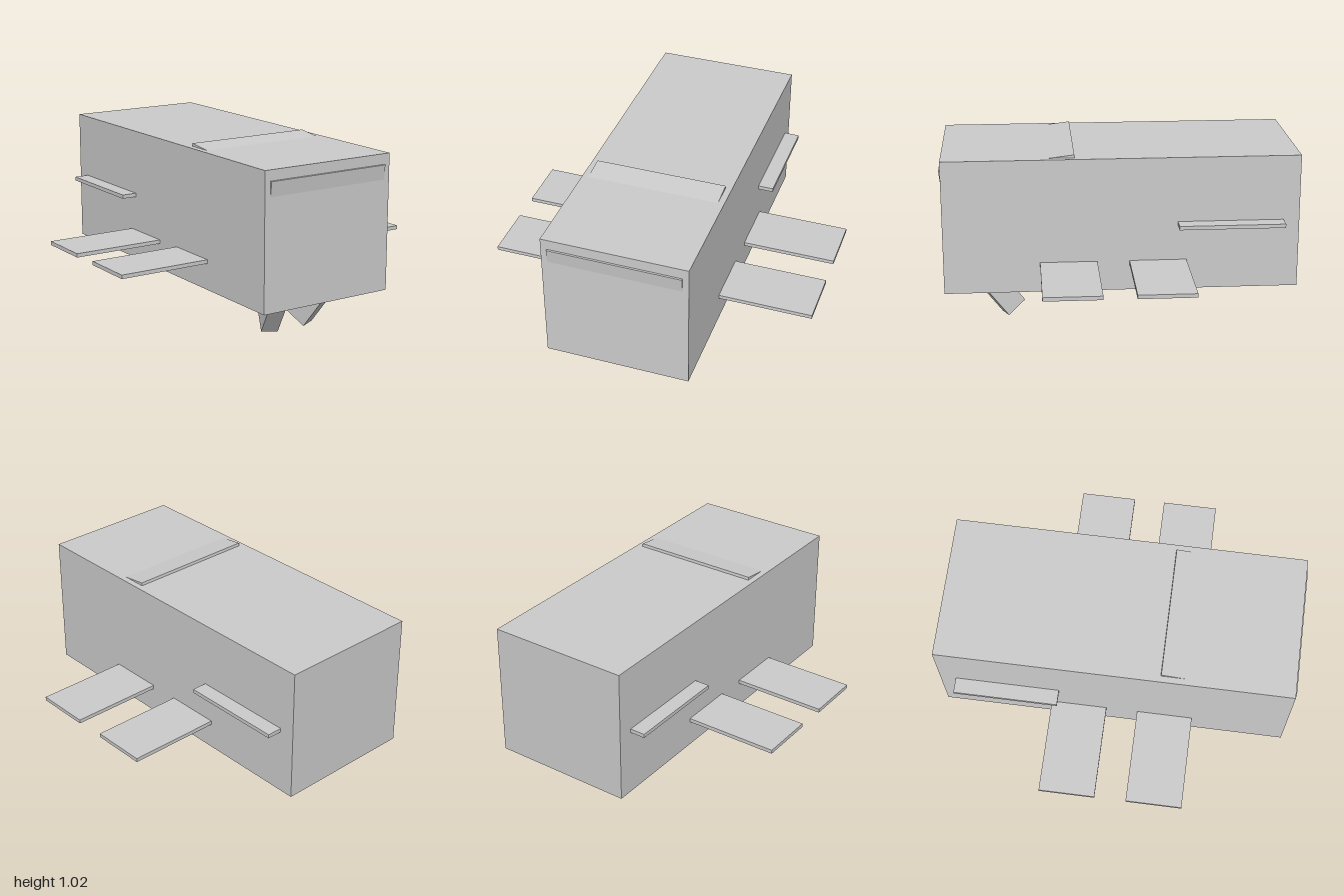
import * as THREE from 'three';

const material = new THREE.MeshStandardMaterial({ color: 0xcccccc, flatShading: true });

// Axis-aligned box given by its low and high corners
function slab(name, [x0, y0, z0], [x1, y1, z1]) {
  const mesh = new THREE.Mesh(new THREE.BoxGeometry(x1 - x0, y1 - y0, z1 - z0), material);
  mesh.position.set((x0 + x1) / 2, (y0 + y1) / 2, (z0 + z1) / 2);
  mesh.name = name;
  return mesh;
}

// Thin panel tilted about one raised edge, sinking into the body at the other
function flap(name, low, high, y, z) {
  const group = new THREE.Group();
  group.name = name;
  group.add(slab(name + 'Panel', low, high));
  group.position.set(0, y, z);
  group.rotation.x = 0.12;
  return group;
}

// Splayed square-cut leg, its end face spanned by two perpendicular edges
function leg(name, side) {
  const corner = new THREE.Vector3(0.088 * side, 0, 0.67);
  const across = new THREE.Vector3(0.086 * side, 0.008, -0.035);
  const back = new THREE.Vector3(-0.045 * side, 0.077, -0.095);
  const length = 0.4;
  const xAxis = across.clone().normalize();
  const yAxis = across.clone().cross(back).normalize().multiplyScalar(side);
  const zAxis = xAxis.clone().cross(yAxis);
  const mesh = new THREE.Mesh(new THREE.BoxGeometry(across.length(), length, back.length()), material);
  mesh.quaternion.setFromRotationMatrix(new THREE.Matrix4().makeBasis(xAxis, yAxis, zAxis));
  mesh.position.copy(corner).addScaledVector(across, 0.5).addScaledVector(back, 0.5)
    .addScaledVector(yAxis, length / 2);
  mesh.name = name;
  return mesh;
}

export function createModel() {
  const model = new THREE.Group();
  model.name = 'model';

  model.add(slab('body', [-0.408, 0.24, -1], [0.408, 1.005, 0.99]));

  // Raised flaps on the roof and the front face
  model.add(flap('roofFlap', [-0.373, -0.02, 0], [0.373, 0, 0.16], 1.022, 0.255));
  model.add(flap('frontFlap', [-0.373, -0.1, -0.02], [0.373, 0, 0], 0.945, 1));

  // Wide fins and narrow rails, each running straight through the body
  model.add(slab('frontFins', [-0.943, 0.39, 0.133], [0.943, 0.412, 0.453]));
  model.add(slab('rearFins', [-0.943, 0.39, -0.367], [0.943, 0.412, -0.047]));
  model.add(slab('sideRails', [-0.495, 0.613, -0.91], [0.495, 0.635, -0.317]));

  model.add(leg('leftLeg', 1), leg('rightLeg', -1));
  return model;
}
